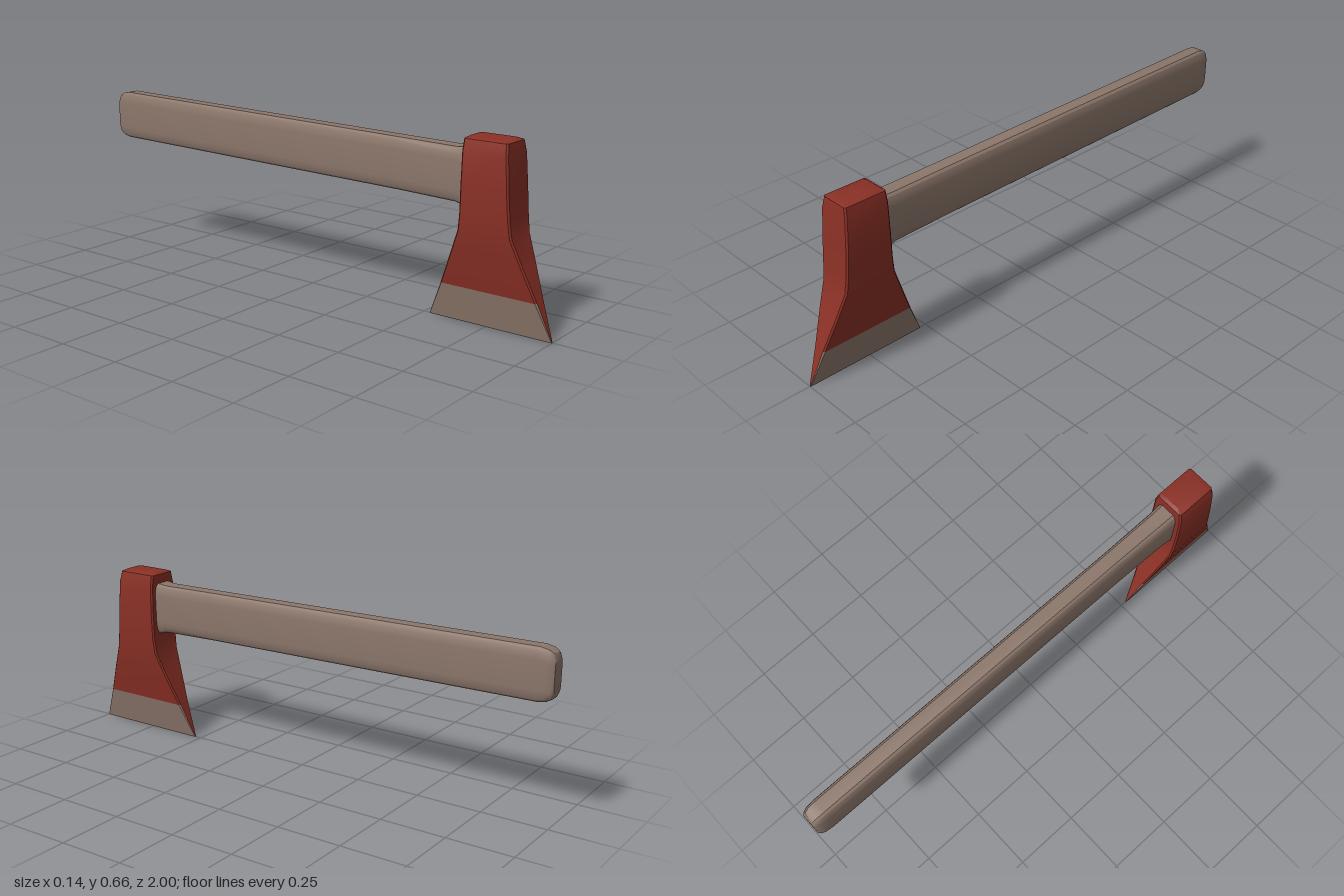
import * as THREE from 'three';
import { toCreasedNormals } from 'three/addons/utils/BufferGeometryUtils.js';

// Skin a stack of equal-sized rings and cap both ends.
// slotOf(level, side) picks the material slot of each strip.
function loft(rings, slotOf = () => 0, slots = 1) {
  const n = rings[0].length;
  const last = (rings.length - 1) * n;
  const faces = Array.from({ length: slots }, () => []);
  for (let i = 0; i < rings.length - 1; i++) {
    for (let j = 0; j < n; j++) {
      const a = i * n + j, b = i * n + (j + 1) % n;
      faces[slotOf(i, j)].push(a, b, b + n, a, b + n, a + n);
    }
  }
  for (let j = 1; j < n - 1; j++) {
    faces[0].push(0, j + 1, j, last, last + j, last + j + 1);
  }
  const geometry = new THREE.BufferGeometry();
  geometry.setAttribute('position', new THREE.Float32BufferAttribute(rings.flat(2), 3));
  geometry.setIndex(faces.flat());
  let start = 0;
  faces.forEach((f, slot) => {
    geometry.addGroup(start, f.length, slot);
    start += f.length;
  });
  return toCreasedNormals(geometry, 0.5);
}

// Horizontal bevelled rectangle of the head
function headRing([y, back, front, w]) {
  const c = Math.min(0.006, w * 0.3);
  const right = [[w - c, front], [w, front - c], [w, back + c], [w - c, back]];
  const left = right.map(([x, z]) => [-x, z]).reverse();
  return [...right, ...left].map(([x, z]) => [x, y, z]);
}

// Upright section of the handle with softened corners
function handleRing([z, cy, w, h]) {
  const quarter = [[1, 0.55], [0.96, 0.76], [0.82, 0.92], [0.6, 1]];
  const flipped = quarter.map(([x, y]) => [-x, y]).reverse();
  const upper = [...quarter, ...flipped];
  const lower = upper.map(([x, y]) => [-x, -y]);
  return [...upper, ...lower].map(([x, y]) => [x * w, cy + y * h, z]);
}

export function createModel() {
  const red = new THREE.MeshStandardMaterial({ color: 0x8a3025 });
  red.name = 'red paint';
  const taupe = new THREE.MeshStandardMaterial({ color: 0x8c776b });
  taupe.name = 'taupe wood and bare edge';

  const axe = new THREE.Group();
  axe.name = 'axe';

  // Head: y, back z, front z, half width; bare metal on both cheeks of the lowest band
  const headLevels = [
    [0, 0.525, 1, 0.003],
    [0.13, 0.579, 0.95, 0.0275],
    [0.25, 0.628, 0.903, 0.0505],
    [0.34, 0.663, 0.868, 0.065],
    [0.40, 0.669, 0.86, 0.068],
    [0.50, 0.671, 0.852, 0.069],
    [0.61, 0.672, 0.844, 0.066],
    [0.652, 0.673, 0.838, 0.057],
    [0.66, 0.685, 0.822, 0.036],
  ];
  const head = new THREE.Mesh(
    loft(headLevels.map(headRing), (i, j) => (i === 0 && j % 4 !== 3 ? 1 : 0), 2),
    [red, taupe],
  );
  head.name = 'axeHead';

  // Handle: z, centre y, half width, half height, from the rounded butt into the head
  const handleLevels = [
    [-1, 0.539, 0.028, 0.06],
    [-0.992, 0.539, 0.033, 0.077],
    [-0.975, 0.54, 0.038, 0.087],
    [-0.945, 0.54, 0.04, 0.093],
    [0.40, 0.523, 0.04, 0.093],
    [0.63, 0.519, 0.043, 0.094],
    [0.665, 0.517, 0.045, 0.1],
    [0.72, 0.517, 0.045, 0.1],
  ];
  const handle = new THREE.Mesh(loft(handleLevels.map(handleRing)), taupe);
  handle.name = 'handle';

  axe.add(head, handle);
  return axe;
}
